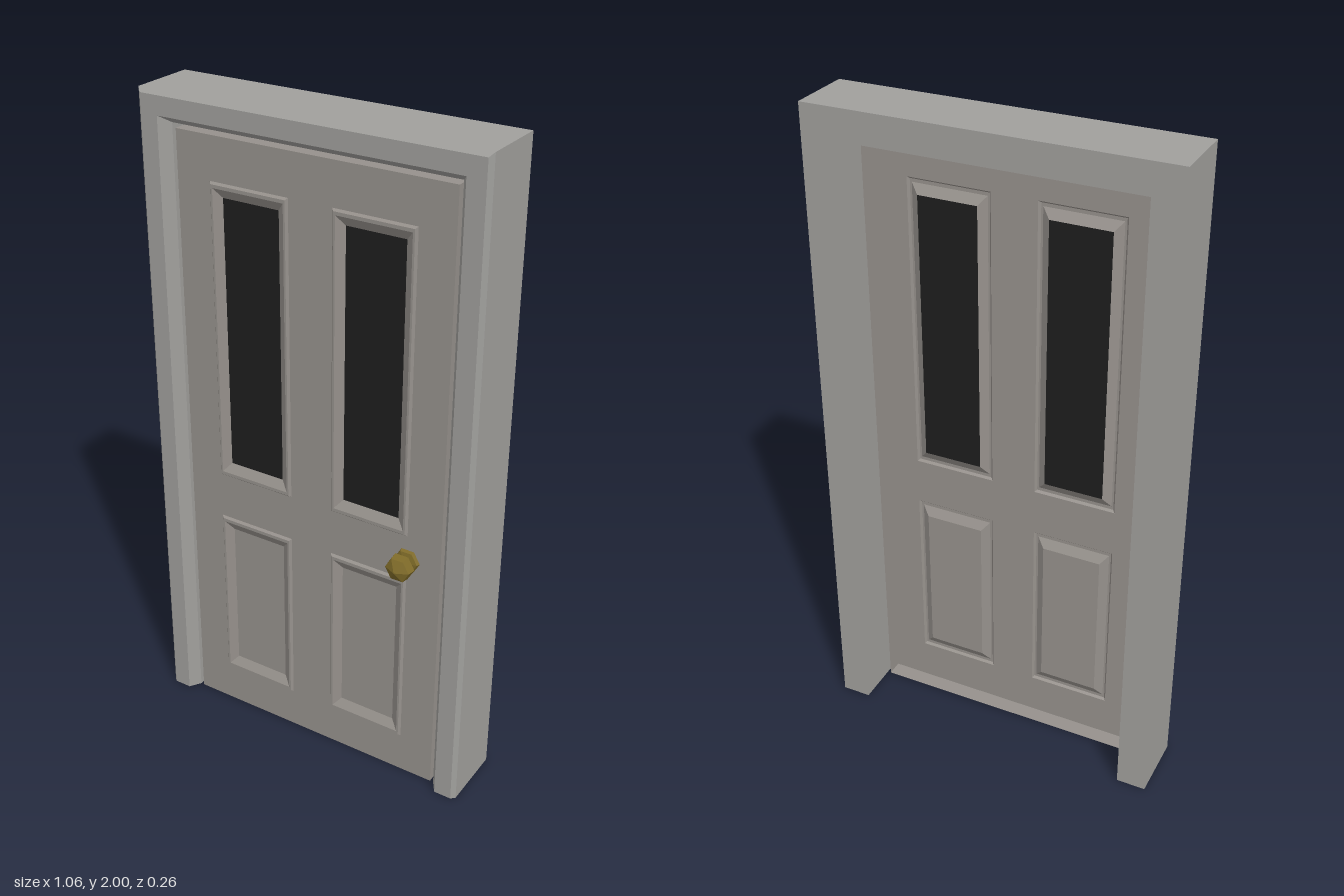
import * as THREE from 'three';

const frameGrey = new THREE.MeshStandardMaterial({ color: 0xa09f9c, flatShading: true });
const leafGrey = new THREE.MeshStandardMaterial({ color: 0x96918c, flatShading: true, side: THREE.DoubleSide });
const dark = new THREE.MeshStandardMaterial({ color: 0x1e1e1e, side: THREE.DoubleSide });
const brass = new THREE.MeshStandardMaterial({ color: 0x7f6b28, flatShading: true });

// Joins a list of closed rings with flat quads, with optional fan caps
function loft(rings, capStart = false, capEnd = false) {
  const pos = [];
  const tri = (...pts) => pts.forEach((p) => pos.push(...p));
  for (let k = 0; k < rings.length - 1; k++) {
    const r = rings[k], s = rings[k + 1], n = r.length;
    for (let i = 0; i < n; i++) {
      const j = (i + 1) % n;
      tri(r[i], r[j], s[j]);
      tri(r[i], s[j], s[i]);
    }
  }
  const first = rings[0], last = rings[rings.length - 1];
  for (let i = 1; i < first.length - 1; i++) {
    if (capStart) tri(first[0], first[i + 1], first[i]);
    if (capEnd) tri(last[0], last[i], last[i + 1]);
  }
  const g = new THREE.BufferGeometry();
  g.setAttribute('position', new THREE.Float32BufferAttribute(pos, 3));
  g.computeVertexNormals();
  return g;
}

// Rectangle ring, counter-clockwise from the front
const rect = (cx, cy, hw, hh, z) => [
  [cx - hw, cy - hh, z], [cx + hw, cy - hh, z], [cx + hw, cy + hh, z], [cx - hw, cy + hh, z],
];

function add(parent, name, geometry, material) {
  const m = new THREE.Mesh(geometry, material);
  m.name = name;
  parent.add(m);
  return m;
}

export function createModel() {
  const model = new THREE.Group();
  model.name = 'door';

  // Frame: mitred section (distance inward, z) run up, across and down
  const W = 0.532, H = 2;
  const section = [[0, -0.13], [0, 0.073], [0.012, 0.085], [0.067, 0.085], [0.09, 0.05], [0.09, -0.13]];
  const stations = [[-1, 0], [-1, 1], [1, 1], [1, 0]];
  const rings = stations.map(([side, top]) =>
    section.map(([w, z]) => [side * (W - w), top * (H - w), z]));
  add(model, 'frame', loft(rings, true, true), frameGrey);

  // Door leaf: open-backed sheet with a rim
  const leaf = new THREE.Group();
  leaf.name = 'doorLeaf';
  model.add(leaf);
  const hw = 0.431, top = 1.896, zFront = 0.05;
  const rim = [0, zFront].map((z) => rect(0, top / 2, hw, top / 2, z));
  add(leaf, 'leafRim', loft(rim), leafGrey);

  const face = new THREE.Shape(rim[1].map(([x, y]) => new THREE.Vector2(x, y)));

  // Moulding steps: inset at the sides, inset at top and bottom, height above the leaf
  const moulding = [[0, 0, 0], [0.006, 0.006, 0.007], [0.012, 0.016, 0.007], [0.036, 0.044, -0.009]];
  const panels = [
    { name: 'window', y: 1.31, hh: 0.458, glass: true },
    { name: 'lowerPanel', y: 0.418, hh: 0.288, glass: false },
  ];
  for (const { name, y, hh, glass } of panels) {
    for (const side of [-1, 1]) {
      const x = side * 0.196, half = 0.127;
      const steps = moulding.map(([dx, dy, z]) => rect(x, y, half - dx, hh - dy, zFront + z));
      const label = (side > 0 ? 'left' : 'right') + name[0].toUpperCase() + name.slice(1);
      add(leaf, label, loft(steps, false, !glass), leafGrey);
      if (glass) add(leaf, label + 'Glass', loft([steps[3]], false, true), dark);
      face.holes.push(new THREE.Path(steps[0].map(([px, py]) => new THREE.Vector2(px, py)).reverse()));
    }
  }
  add(leaf, 'leafFace', new THREE.ShapeGeometry(face), leafGrey).position.z = zFront;

  // Six-sided knob with rose and neck
  const profile = [[0.04, 0], [0.036, 0.01], [0.016, 0.014], [0.016, 0.024], [0.042, 0.034], [0.038, 0.06], [0, 0.078]]
    .map(([r, h]) => new THREE.Vector2(r, h));
  const knob = add(model, 'knob', new THREE.LatheGeometry(profile, 6, Math.PI / 2), brass);
  knob.rotation.x = Math.PI / 2;
  knob.position.set(0.325, 0.772, zFront);

  return model;
}
